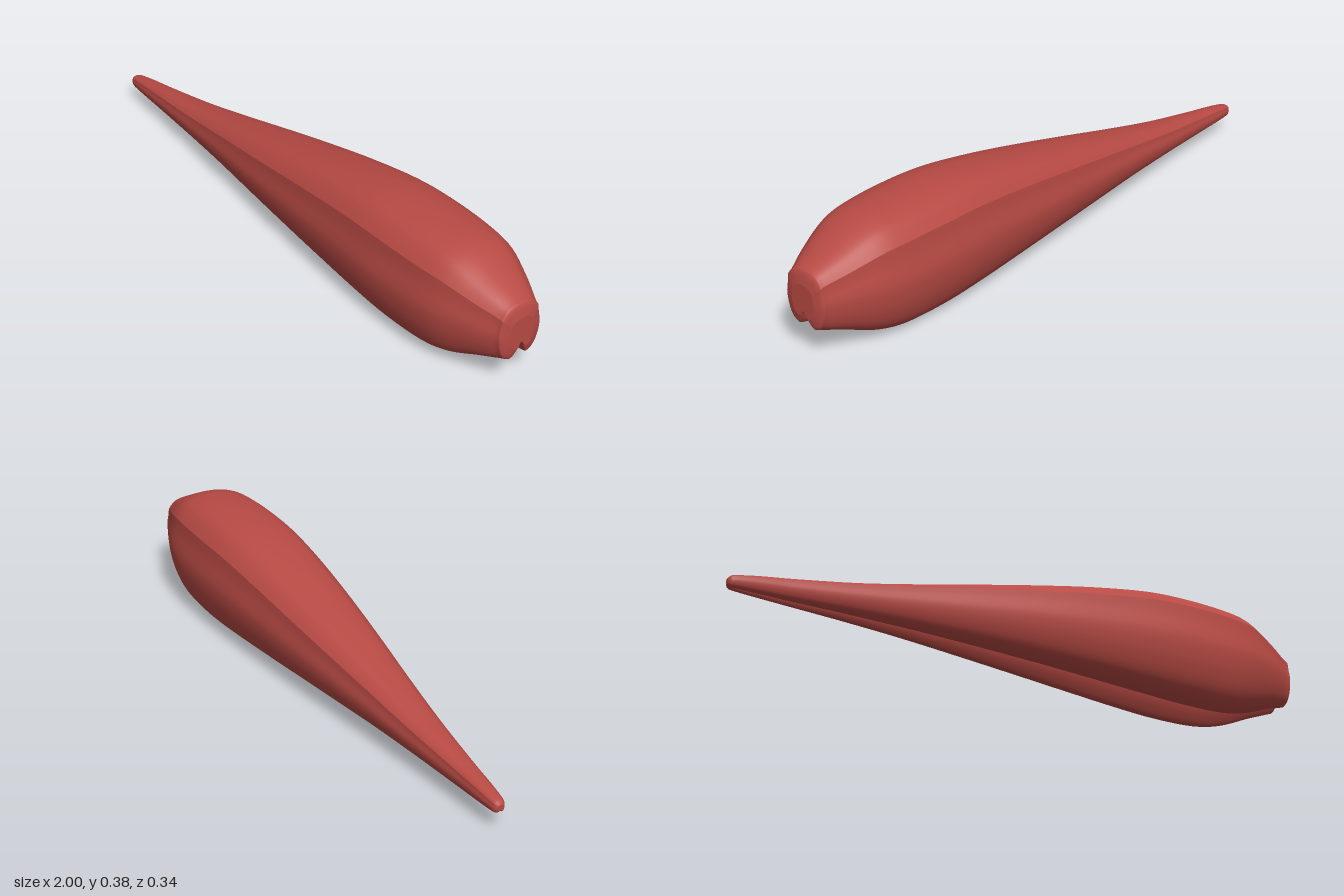
import * as THREE from 'three';

// Stations along the length: x, top y, bottom y, half width, groove depth factor
const STATIONS = [
  [-1, 0.085, 0.065, 0.01, 0.3], [-0.99, 0.095, 0.057, 0.019, 0.4], [-0.96, 0.102, 0.055, 0.024, 0.6],
  [-0.9, 0.113, 0.054, 0.03, 0.8], [-0.8, 0.128, 0.053, 0.039, 1], [-0.6, 0.162, 0.052, 0.06, 1],
  [-0.4, 0.205, 0.048, 0.083, 1], [-0.2, 0.251, 0.04, 0.108, 1], [0, 0.296, 0.03, 0.131, 1],
  [0.2, 0.338, 0.018, 0.15, 1], [0.4, 0.371, 0.006, 0.165, 1], [0.55, 0.38, 0, 0.17, 1],
  [0.7, 0.378, 0.004, 0.165, 1], [0.8, 0.365, 0.025, 0.15, 1], [0.9, 0.32, 0.065, 0.114, 0.9],
  [0.97, 0.285, 0.09, 0.081, 0.75], [0.99, 0.272, 0.1, 0.074, 0.7], [1, 0.235, 0.13, 0.045, 0.5],
];

// Unit cross-section on the +z side: [sideways, height]
const TOP = [[0, 1], [0.3, 0.99], [0.58, 0.95], [0.75, 0.89], [0.89, 0.815]];
const SIDE = [[0.89, 0.815], [0.92, 0.7], [0.98, 0.57], [1, 0.48], [0.98, 0.37], [0.92, 0.25], [0.8, 0.12], [0.62, 0.035], [0.41, 0]];
const GROOVE = [[0.32, 0.04], [0.22, 0.13], [0.14, 0.26], [0.06, 0.36], [0, 0.37]];

const mirror = (pts) => pts.map(([z, y]) => [-z, y]);
const smooth = (pts, n) => new THREE.SplineCurve(pts.map((p) => new THREE.Vector2(...p))).getPoints(n);

function bodyGeometry() {
  // Two arcs meet at the sharp shoulder lines, each with its own vertices
  const topArc = smooth([...mirror(TOP).reverse(), ...TOP.slice(1)], 24);
  const half = [...SIDE, ...GROOVE];
  const lowArc = smooth([...half, ...mirror(half).reverse().slice(1)], 78);
  const loop = [...topArc, ...lowArc];
  const n = loop.length;

  const spine = new THREE.CatmullRomCurve3(STATIONS.map((s) => new THREE.Vector3(s[0], s[1], s[2])), false, 'catmullrom');
  const width = new THREE.CatmullRomCurve3(STATIONS.map((s) => new THREE.Vector3(s[0], s[3], s[4])), false, 'catmullrom');
  const rings = (STATIONS.length - 1) * 5;
  const pos = [], index = [];

  for (let i = 0; i <= rings; i++) {
    const a = spine.getPoint(i / rings), b = width.getPoint(i / rings);
    for (const p of loop) {
      const inGroove = p.y < 0.4 && Math.abs(p.x) < 0.41;
      const v = inGroove ? p.y * b.z : p.y;
      pos.push(a.x, a.z + v * (a.y - a.z), p.x * b.y);
    }
  }
  for (let i = 0; i < rings; i++) {
    for (let j = 0; j < n - 1; j++) {
      if (j === topArc.length - 1) continue;
      const a = i * n + j;
      index.push(a, a + 1, a + n, a + 1, a + n + 1, a + n);
    }
  }
  // End caps with their own vertices
  for (const [ring, s, flip] of [[0, STATIONS[0], true], [rings, STATIONS.at(-1), false]]) {
    const c = pos.length / 3;
    pos.push(s[0], (s[1] + s[2]) / 2, 0);
    for (let j = 0; j < n; j++) pos.push(...pos.slice((ring * n + j) * 3, (ring * n + j) * 3 + 3));
    for (let j = 0; j < n - 1; j++) index.push(c, c + 1 + j + (flip ? 1 : 0), c + 1 + j + (flip ? 0 : 1));
  }

  const g = new THREE.BufferGeometry();
  g.setAttribute('position', new THREE.Float32BufferAttribute(pos, 3));
  g.setIndex(index);
  g.computeVertexNormals();
  return g;
}

export function createModel() {
  const group = new THREE.Group();
  const red = new THREE.MeshStandardMaterial({ color: 0xb84a44 });
  red.name = 'brick red';
  const body = new THREE.Mesh(bodyGeometry(), red);
  body.name = 'taperedBody';
  group.add(body);
  return group;
}
